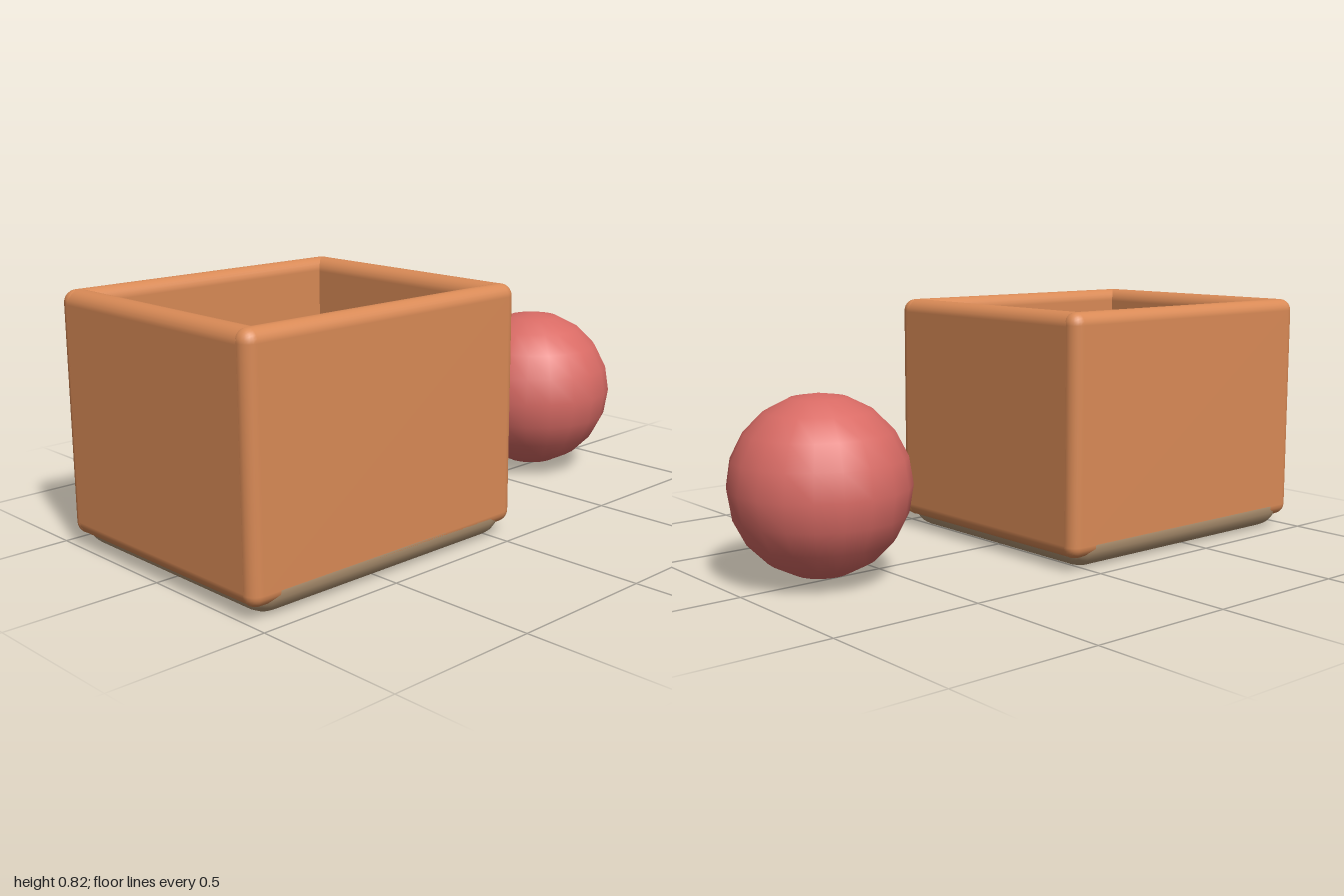
import * as THREE from 'three';
import { RoundedBoxGeometry } from 'three/addons/geometries/RoundedBoxGeometry.js';

export function createModel() {
  const model = new THREE.Group();
  model.name = 'boxAndBall';
  const wallMat = new THREE.MeshStandardMaterial({ color: 0xd98a56 });
  const floorMat = new THREE.MeshStandardMaterial({ color: 0xb59775 });
  const ballMat = new THREE.MeshStandardMaterial({ color: 0xd96b65 });

  // Open box: outer size and wall dimensions
  const W = 1.076, D = 0.91, TOP = 0.822, WALL_BOTTOM = 0.04;
  const END_T = 0.09, SIDE_T = 0.08;
  const box = new THREE.Group();
  box.name = 'openBox';
  box.position.x = -1 + W / 2;
  model.add(box);

  function slab(name, size, pos, radius, material) {
    const mesh = new THREE.Mesh(new RoundedBoxGeometry(...size, 3, radius), material);
    mesh.name = name;
    mesh.position.set(...pos);
    box.add(mesh);
  }

  // Thick floor slab with large rounded edges, slightly inset at the ends
  slab('floor', [W - 0.04, 0.16, D], [0, 0.08, 0], 0.08, floorMat);

  // Four walls that overlap at the corners
  const h = TOP - WALL_BOTTOM, y = (TOP + WALL_BOTTOM) / 2;
  for (const s of [1, -1]) {
    slab(s > 0 ? 'frontWall' : 'backWall', [W, h, SIDE_T], [0, y, s * (D - SIDE_T) / 2], 0.04, wallMat);
    slab(s > 0 ? 'leftWall' : 'rightWall', [END_T, h, D], [s * (W - END_T) / 2, y, 0], 0.044, wallMat);
  }

  // Ball beside the box
  const ball = new THREE.Mesh(new THREE.SphereGeometry(0.286, 20, 10), ballMat);
  ball.name = 'ball';
  ball.position.set(0.714, 0.301, 0);
  model.add(ball);

  return model;
}
